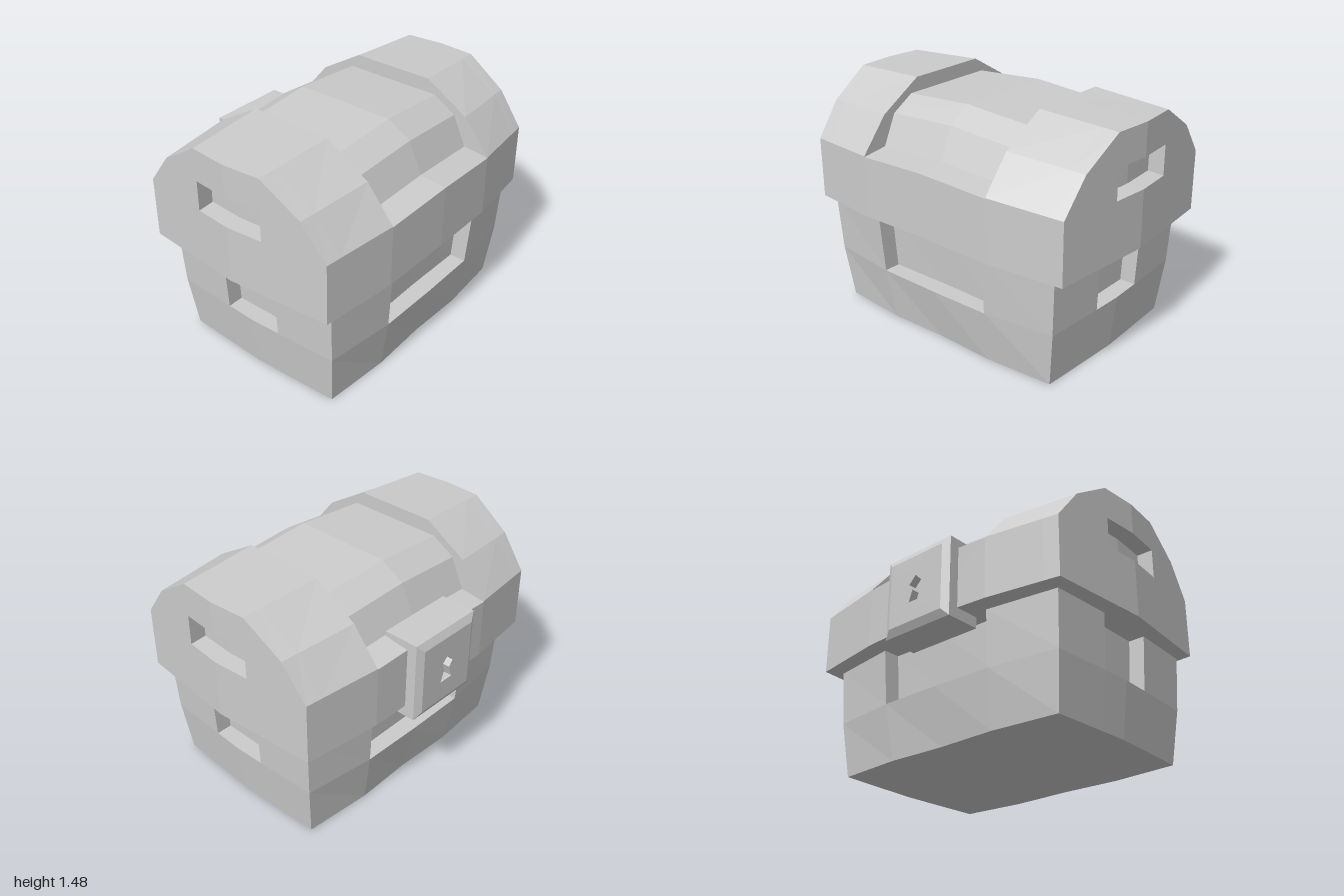
import * as THREE from 'three';

const material = new THREE.MeshStandardMaterial({ color: 0xcccccc, flatShading: true });
const lerp = THREE.MathUtils.lerp;

// Extrudes an outline from a to b along an axis, then moves every vertex by a rule
function prism(name, points, a, b, axis, rule, hole) {
  const shape = new THREE.Shape(points.map(p => new THREE.Vector2(...p)));
  if (hole) shape.holes.push(new THREE.Path(hole.map(p => new THREE.Vector2(...p))));
  const geo = new THREE.ExtrudeGeometry(shape, { depth: b - a, bevelEnabled: false });
  geo.translate(0, 0, a);
  if (axis === 'x') geo.rotateY(Math.PI / 2);
  if (axis === 'y') geo.rotateX(-Math.PI / 2);
  const pos = geo.attributes.position;
  const v = new THREE.Vector3();
  for (let i = 0; i < pos.count; i++) {
    rule(v.fromBufferAttribute(pos, i));
    pos.setXYZ(i, v.x, v.y, v.z);
  }
  geo.computeVertexNormals();
  const mesh = new THREE.Mesh(geo, material);
  mesh.name = name;
  return mesh;
}

// The box narrows towards its foot, most of all in the middle of its long sides
function taper(v) {
  const t = v.y < 0.1 ? 1 : v.y < 0.5 ? 0.3 : 0;
  v.z *= 1 - t * (0.155 - 0.083 * Math.abs(v.x));
  v.x *= 1 - t * 0.065;
}

function createBox() {
  const box = new THREE.Group();
  box.name = 'chestBox';
  // One quarter of each plan, from the middle of the end to the middle of the long side
  const solid = [[0.895, 0], [0.887, 0.2], [0.868, 0.6], [0.41, 0.663], [0, 0.675]];
  const notched = [[0.785, 0], [0.785, 0.2], [0.887, 0.2], [0.868, 0.6],
    [0.41, 0.663], [0.41, 0.555], [0, 0.555]];
  const ring = q => [
    ...q,
    ...q.slice(0, -1).reverse().map(([x, z]) => [-x, z]),
    ...q.slice(1).map(([x, z]) => [-x, -z]),
    ...q.slice(1, -1).reverse().map(([x, z]) => [x, -z]),
  ];
  box.add(prism('lowerBox', ring(solid), 0, 0.345, 'y', taper));
  box.add(prism('upperBoxWithRecesses', ring(notched), 0.345, 0.69, 'y', taper));
  box.position.z = 0.06;
  return box;
}

// The lid is fullest at its centre and bows outward at both ends
function bulge(v) {
  const ax = Math.abs(v.x);
  const inner = Math.min(ax / 0.47, 1);
  const outer = Math.max((ax - 0.47) / 0.53, 0);
  v.z *= lerp(lerp(1, 0.98, inner), 0.895, outer);
  v.y *= lerp(lerp(1, 0.978, inner), 0.962, outer);
  v.x -= Math.sign(v.x) * 0.084 * Math.abs(v.z) * outer;
}

function createLid() {
  const lid = new THREE.Group();
  lid.name = 'lid';
  // Half profiles as [distance from the middle, height]
  const panel = [[0, 0.725], [0.735, 0.725], [0.735, 1.12], [0.565, 1.14],
    [0.475, 1.33], [0.325, 1.42], [0, 1.42]];
  const band = [[0, 0.725], [0.735, 0.725], [0.735, 1.125], [0.555, 1.342],
    [0.27, 1.512], [0, 1.512]];
  const handle = [[0, 1.3], [0.262, 1.3], [0.262, 1.102], [0, 1.102]];
  for (const sx of [1, -1]) {
    for (const sz of [1, -1]) {
      const add = (name, profile, from, to) => lid.add(prism(name,
        profile.map(([z, y]) => [z * sz, y]),
        Math.min(from * sx, to * sx), Math.max(from * sx, to * sx), 'x', bulge));
      add('lidPanel', panel, 0, 0.47);
      add('lidBand', band, 0.47, 0.89);
      add('lidEndWithHandRecess', [...band, ...handle], 0.89, 1);
    }
  }
  lid.position.z = 0.036;
  return lid;
}

function createLock() {
  const lock = new THREE.Group();
  lock.name = 'lock';
  const w = 0.253, h = 0.257;
  const plate = [[-w, -h], [w, -h], [w, h], [-w, h]];
  const keyhole = [[-0.05, -0.085], [0.05, -0.085], [0.022, -0.01], [0.05, 0.03],
    [0, 0.08], [-0.05, 0.03], [-0.022, -0.01]];
  // Chamfers the rim at the outer and inner faces
  const chamfer = v => {
    const atFace = v.z < -0.77 || v.z > -0.52;
    if (atFace && Math.abs(v.x) > 0.2) {
      v.x -= Math.sign(v.x) * 0.046;
      v.y -= Math.sign(v.y) * 0.046;
    }
  };
  lock.add(prism('lockBack', plate, -0.53, -0.51, 'z', chamfer));
  lock.add(prism('lockBody', plate, -0.73, -0.53, 'z', chamfer));
  lock.add(prism('lockPlate', plate, -0.755, -0.73, 'z', chamfer, keyhole));
  lock.add(prism('lockFace', plate, -0.78, -0.755, 'z', chamfer, keyhole));
  lock.position.set(-0.018, 0.902, 0);
  return lock;
}

export function createModel() {
  const chest = new THREE.Group();
  chest.name = 'treasureChest';
  chest.add(createBox(), createLid(), createLock());
  return chest;
}
